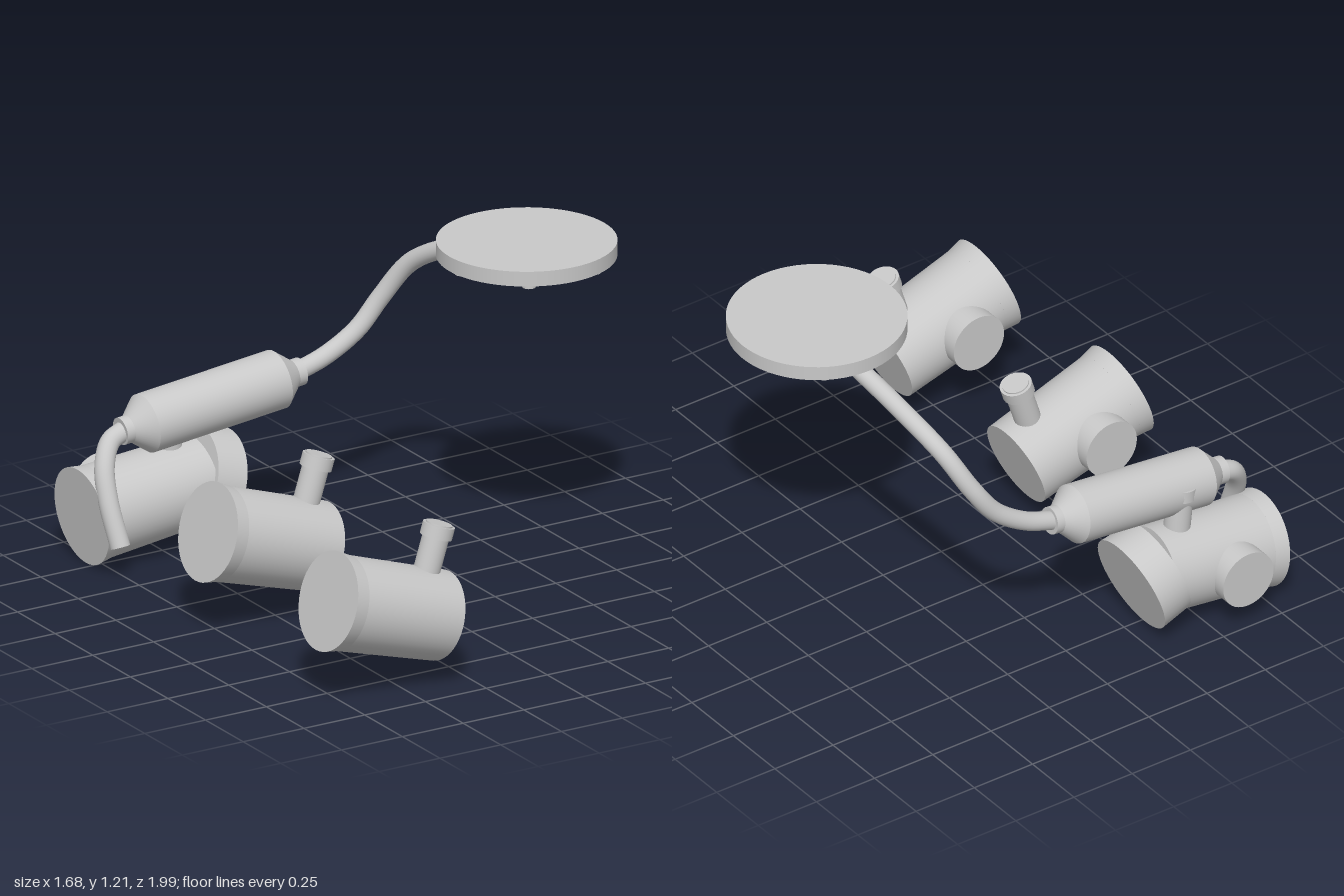
import * as THREE from 'three';

const V = (x, y, z) => new THREE.Vector3(x, y, z);

export function createModel() {
  const model = new THREE.Group();
  const metal = new THREE.MeshStandardMaterial({ color: 0xc8c8c8 });
  metal.name = 'lightGrey';

  const add = (parent, name, geometry, x = 0, y = 0, z = 0) => {
    const mesh = new THREE.Mesh(geometry, metal);
    mesh.name = name;
    mesh.position.set(x, y, z);
    parent.add(mesh);
    return mesh;
  };

  // cylinder or cone frustum along x, from x0 (radius r0) to x1 (radius r1)
  const along = (parent, name, x0, r0, x1, r1) => {
    const g = new THREE.CylinderGeometry(r1, r0, x1 - x0, 48);
    g.rotateZ(-Math.PI / 2);
    return add(parent, name, g, (x0 + x1) / 2);
  };

  // bent pipe with flat closed ends
  const pipe = (name, points, r) => {
    const group = new THREE.Group();
    group.name = name;
    const curve = new THREE.CatmullRomCurve3(points);
    add(group, name + 'Tube', new THREE.TubeGeometry(curve, 48, r, 24));
    for (const t of [0, 1]) {
      const p = curve.getPointAt(t);
      const dir = curve.getTangentAt(t).multiplyScalar(t ? 1 : -1);
      const cap = add(group, name + 'End', new THREE.CircleGeometry(r, 24), p.x, p.y, p.z);
      cap.quaternion.setFromUnitVectors(V(0, 0, 1), dir);
    }
    model.add(group);
  };

  // canister: flared rim, body, upright stem with cap, round side knob
  const canister = (name, x, y, z, tilt) => {
    const c = new THREE.Group();
    c.name = name;
    along(c, 'rim', 0, 0.179, 0.055, 0.17);
    along(c, 'body', 0.05, 0.17, 0.475, 0.161);
    add(c, 'stem', new THREE.CylinderGeometry(0.048, 0.048, 0.26, 32), 0.375, 0.2, 0);
    add(c, 'stemCap', new THREE.CylinderGeometry(0.058, 0.058, 0.045, 32), 0.375, 0.302, 0);
    const knob = new THREE.CylinderGeometry(0.108, 0.108, 0.2, 40);
    knob.rotateX(Math.PI / 2);
    add(c, 'sideKnob', knob, 0.205, 0, -0.115);
    c.position.set(x, y, z);
    c.rotation.z = tilt;
    model.add(c);
    return c;
  };

  canister('frontCanister', -0.785, 0.378, 0.815, -0.305);
  canister('middleCanister', -0.785, 0.378, 0.015, -0.305);
  canister('rearCanister', -0.81, 0.183, -0.785, 0.1);

  // loose cover set askew on the end of the rear canister
  const cover = new THREE.Group();
  cover.name = 'rearCover';
  along(cover, 'coverDisc', -0.12, 0.18, 0, 0.187);
  cover.position.set(-0.253, 0.208, -0.79);
  cover.rotation.z = -0.305;
  model.add(cover);

  // arm barrel with tapered ends and collars
  const barrel = new THREE.Group();
  barrel.name = 'armBarrel';
  along(barrel, 'barrelBody', -0.273, 0.107, 0.273, 0.107);
  along(barrel, 'leftTaper', -0.34, 0.05, -0.273, 0.107);
  along(barrel, 'rightTaper', 0.273, 0.107, 0.34, 0.05);
  along(barrel, 'leftCollar', -0.372, 0.05, -0.34, 0.05);
  along(barrel, 'rightCollar', 0.34, 0.05, 0.372, 0.05);
  barrel.position.set(-0.313, 0.531, -0.732);
  barrel.rotation.z = 0.105;
  model.add(barrel);

  // pipes at both ends of the barrel
  pipe('upperPipe', [
    V(0.04, 0.568, -0.735), V(0.16, 0.61, -0.73), V(0.28, 0.69, -0.715), V(0.36, 0.8, -0.69),
    V(0.43, 0.94, -0.61), V(0.485, 1.05, -0.42), V(0.525, 1.13, -0.2),
  ], 0.034);
  pipe('lowerPipe', [
    V(-0.67, 0.493, -0.732), V(-0.73, 0.465, -0.725), V(-0.775, 0.39, -0.69),
    V(-0.787, 0.28, -0.645), V(-0.775, 0.125, -0.585),
  ], 0.036);

  // ceiling plate with a ring of six bolts underneath
  const plate = new THREE.Group();
  plate.name = 'ceilingPlate';
  add(plate, 'plateDisc', new THREE.CylinderGeometry(0.318, 0.318, 0.055, 64), 0, 0.0275, 0);
  for (let i = 0; i < 6; i++) {
    const a = (i * Math.PI) / 3;
    add(plate, 'bolt', new THREE.CylinderGeometry(0.024, 0.024, 0.03, 20),
      0.268 * Math.cos(a), -0.005, 0.268 * Math.sin(a));
  }
  plate.position.set(0.525, 1.155, 0.015);
  model.add(plate);

  return model;
}
